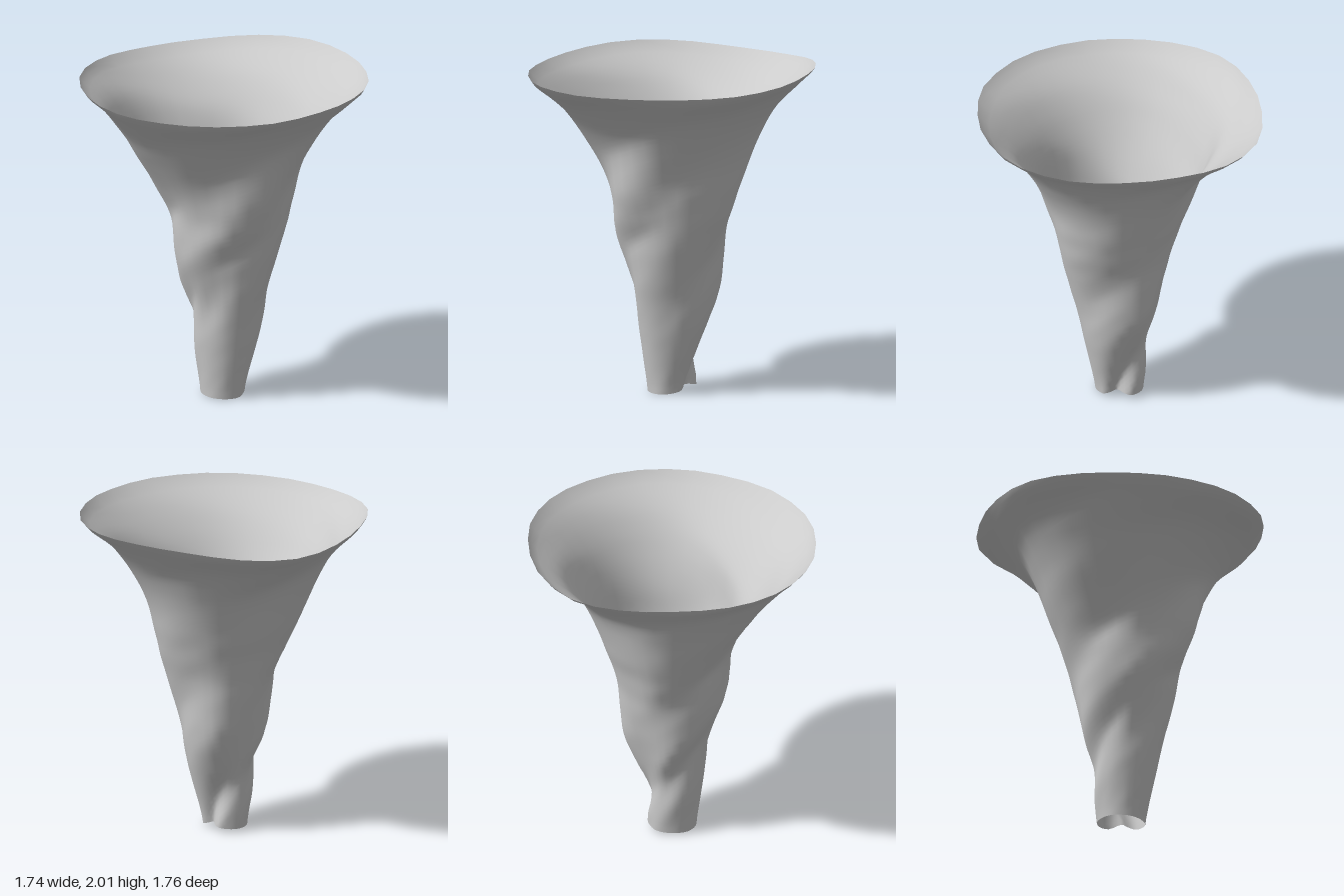
import * as THREE from 'three';

// Wall radius from foot to rim, at equal height steps, in eight directions 45 degrees apart
const PROFILES = [
  /* left */ [.08, .125, .165, .2, .23, .25, .265, .272, .282, .31, .345, .38, .41, .437, .46, .492, .535, .59, .66, .75, .865],
  /* back left */ [.14, .11, .2, .28, .305, .325, .385, .455, .54, .66, .86],
  /* back */ [.14, .145, .145, .14, .16, .185, .21, .235, .257, .28, .297, .32, .345, .38, .41, .44, .475, .53, .635, .75, .88],
  /* back right */ [.135, .165, .165, .245, .275, .305, .39, .48, .56, .67, .85],
  /* right */ [.145, .155, .17, .183, .188, .19, .195, .235, .275, .298, .312, .318, .322, .37, .43, .495, .56, .62, .69, .765, .87],
  /* front right */ [.155, .18, .205, .22, .28, .345, .36, .42, .53, .67, .875],
  /* front */ [.155, .17, .19, .21, .23, .25, .272, .295, .31, .325, .338, .385, .425, .455, .467, .475, .495, .555, .64, .745, .88],
  /* front left */ [.13, .175, .22, .255, .31, .365, .405, .445, .54, .67, .865],
].map((radii) => new THREE.SplineCurve(radii.map((r, i) => new THREE.Vector2(i, r))));

const SIDES = 32, RINGS = 60;
const RISE = 0.084; // how far the grooves climb between neighbouring profiles

const mean = (t) => PROFILES.reduce((sum, p) => sum + p.getPoint(t).y, 0) / PROFILES.length;

// Radius of one profile relative to the mean
function ratio(index, t) {
  const u = THREE.MathUtils.clamp(t, 0, 1);
  return PROFILES[index % PROFILES.length].getPoint(u).y / mean(u);
}

// Blend neighbouring profiles along the climbing grooves
function radius(angle, t) {
  const sector = angle / (Math.PI / 4);
  const k = Math.floor(sector), f = sector - k;
  const blend = THREE.MathUtils.smoothstep(f, 0, 1);
  return mean(t) * THREE.MathUtils.lerp(ratio(k, t - f * RISE), ratio(k + 1, t + (1 - f) * RISE), blend);
}

// Wavy rim, and a foot notched where a groove starts
const rimHeight = (a) => 1.966 + 0.018 * Math.cos(a) + 0.0075 * Math.sin(a) + 0.0105 * Math.cos(2 * a)
  + 0.0135 * Math.sin(3 * a) - 0.0065 * Math.cos(4 * a);
const footHeight = (a) => 0.01 * (1 + Math.sin(a)) + 0.035 * Math.exp(-4 * (1 - Math.cos(a - 0.2)));

export function createModel() {
  const group = new THREE.Group();
  group.name = 'twistedFunnel';

  const positions = [], indices = [];
  for (let j = 0; j <= RINGS; j++) {
    const t = j / RINGS;
    for (let i = 0; i < SIDES; i++) {
      const a = (i / SIDES) * Math.PI * 2;
      const r = radius(a, t);
      const y = THREE.MathUtils.lerp(footHeight(a), rimHeight(a), t);
      positions.push(r * Math.cos(a), y, -r * Math.sin(a));
      if (j < RINGS) {
        const p = j * SIDES + i, q = j * SIDES + (i + 1) % SIDES;
        indices.push(p, q, q + SIDES, p, q + SIDES, p + SIDES);
      }
    }
  }

  // Thin open wall, smooth all round
  const geometry = new THREE.BufferGeometry();
  geometry.setAttribute('position', new THREE.Float32BufferAttribute(positions, 3));
  geometry.setIndex(indices);
  geometry.computeVertexNormals();

  const wall = new THREE.Mesh(
    geometry,
    new THREE.MeshStandardMaterial({ color: 0xcccccc, side: THREE.DoubleSide }),
  );
  wall.name = 'funnelWall';
  group.add(wall);
  return group;
}
